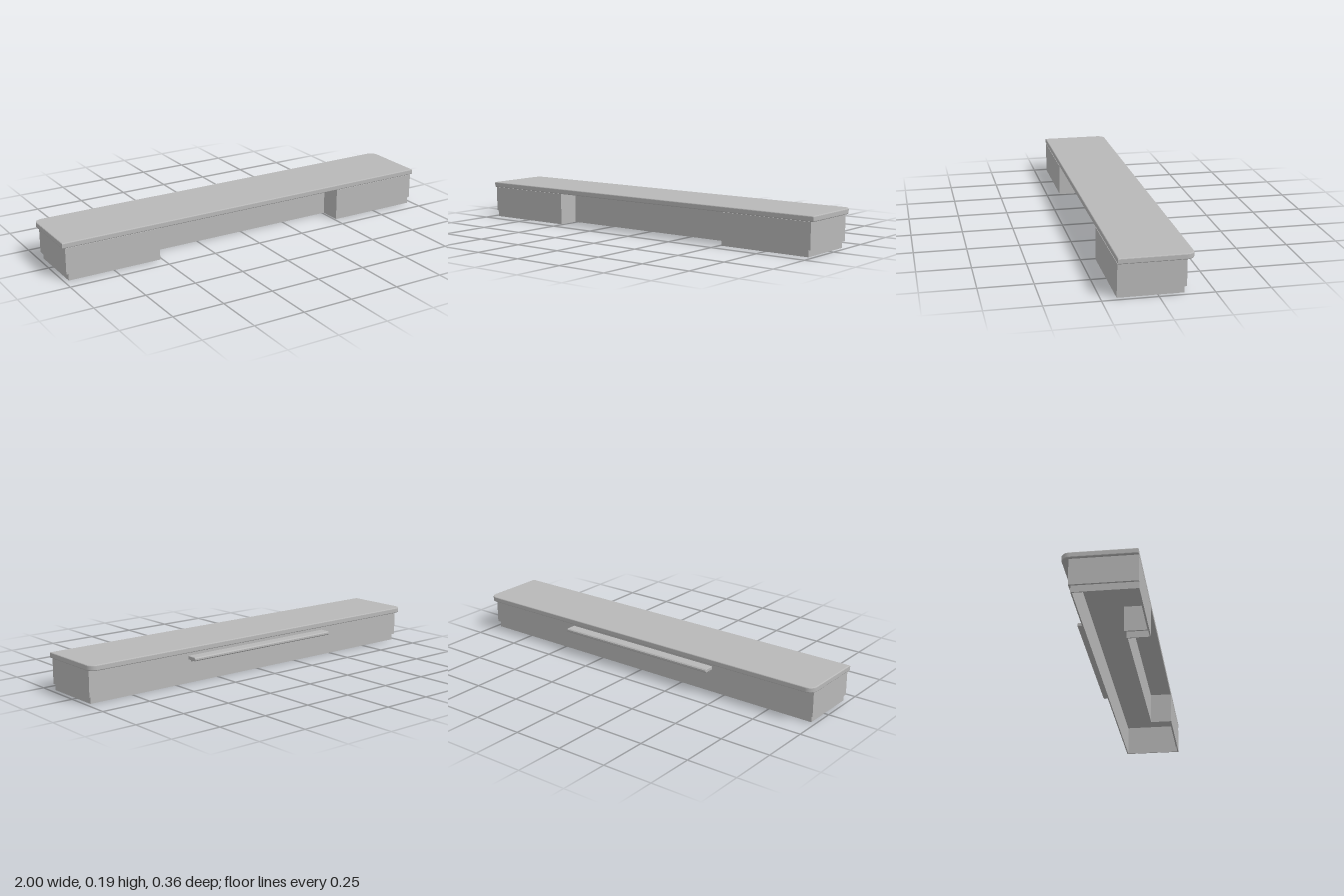
import * as THREE from 'three';

const grey = new THREE.MeshStandardMaterial({ color: 0xb8b8b8 });
grey.name = 'plain grey';

function add(group, name, geometry, x = 0, y = 0, z = 0) {
  const mesh = new THREE.Mesh(geometry, grey);
  mesh.name = name;
  mesh.position.set(x, y, z);
  group.add(mesh);
  return mesh;
}

// Footprint with a recessed middle, drawn in (x, -z); inset shrinks it evenly.
function footprint(halfWidth, back, inset) {
  const w = halfWidth - inset, b = -back - inset;
  const f = -(0.18 - inset), knee = 0.51 + inset, mid = -(0.072 - inset);
  return [[-w, b], [-w, f], [-knee, f], [-knee, mid], [knee, mid], [knee, f], [w, f], [w, b]]
    .map(([x, y]) => new THREE.Vector2(x, y));
}

// Hollow wall following the footprint, open at top and bottom.
function wallRing(halfWidth, back, thickness, height) {
  const shape = new THREE.Shape(footprint(halfWidth, back, 0));
  shape.holes.push(new THREE.Path(footprint(halfWidth, back, thickness)));
  return new THREE.ExtrudeGeometry(shape, { depth: height, bevelEnabled: false }).rotateX(-Math.PI / 2);
}

// Profile in (z, y), extruded along x and centred.
function alongX(points, length, bevel = 0) {
  const shape = new THREE.Shape(points.map(([z, y]) => new THREE.Vector2(-z, y)));
  return new THREE.ExtrudeGeometry(shape, {
    depth: length - 2 * bevel, bevelEnabled: bevel > 0,
    bevelSize: bevel, bevelThickness: bevel, bevelOffset: -bevel, bevelSegments: 3,
  }).translate(0, 0, -length / 2 + bevel).rotateY(Math.PI / 2);
}

export function createModel() {
  const model = new THREE.Group();
  model.name = 'counter';

  // Cabinet walls and the slightly inset plinth below them
  add(model, 'cabinetWalls', wallRing(0.987, -0.125, 0.015, 0.126), 0, 0.032, 0);
  add(model, 'plinth', wallRing(0.977, -0.116, 0.006, 0.032));

  // Worktop: square front corners, rounded back corners, softened edges
  const e = 0.005, w = 1 - e, f = -(0.18 - e), b = 0.16 - e, r = 0.035;
  const top = new THREE.Shape();
  top.moveTo(-w, f);
  top.lineTo(w, f);
  top.lineTo(w, b - r);
  top.absarc(w - r, b - r, r, 0, Math.PI / 2, false);
  top.lineTo(-w + r, b);
  top.absarc(-w + r, b - r, r, Math.PI / 2, Math.PI, false);
  top.closePath();
  const topGeometry = new THREE.ExtrudeGeometry(top, {
    depth: 0.027 - 2 * e, bevelSize: e, bevelThickness: e, bevelSegments: 4, curveSegments: 10,
  }).rotateX(-Math.PI / 2);
  add(model, 'worktop', topGeometry, 0, 0.158 + e, 0);

  // Narrow ledge on the back with wedge brackets under its ends
  add(model, 'ledge', alongX([
    [-0.12, 0.117], [-0.173, 0.117], [-0.178, 0.122], [-0.178, 0.130], [-0.173, 0.135], [-0.12, 0.135],
  ], 0.87, 0.003));
  for (const side of [-1, 1]) {
    add(model, 'ledgeBracket', alongX([
      [-0.12, 0.103], [-0.127, 0.105], [-0.155, 0.118], [-0.12, 0.118],
    ], 0.02), side * 0.41);
  }
  return model;
}
